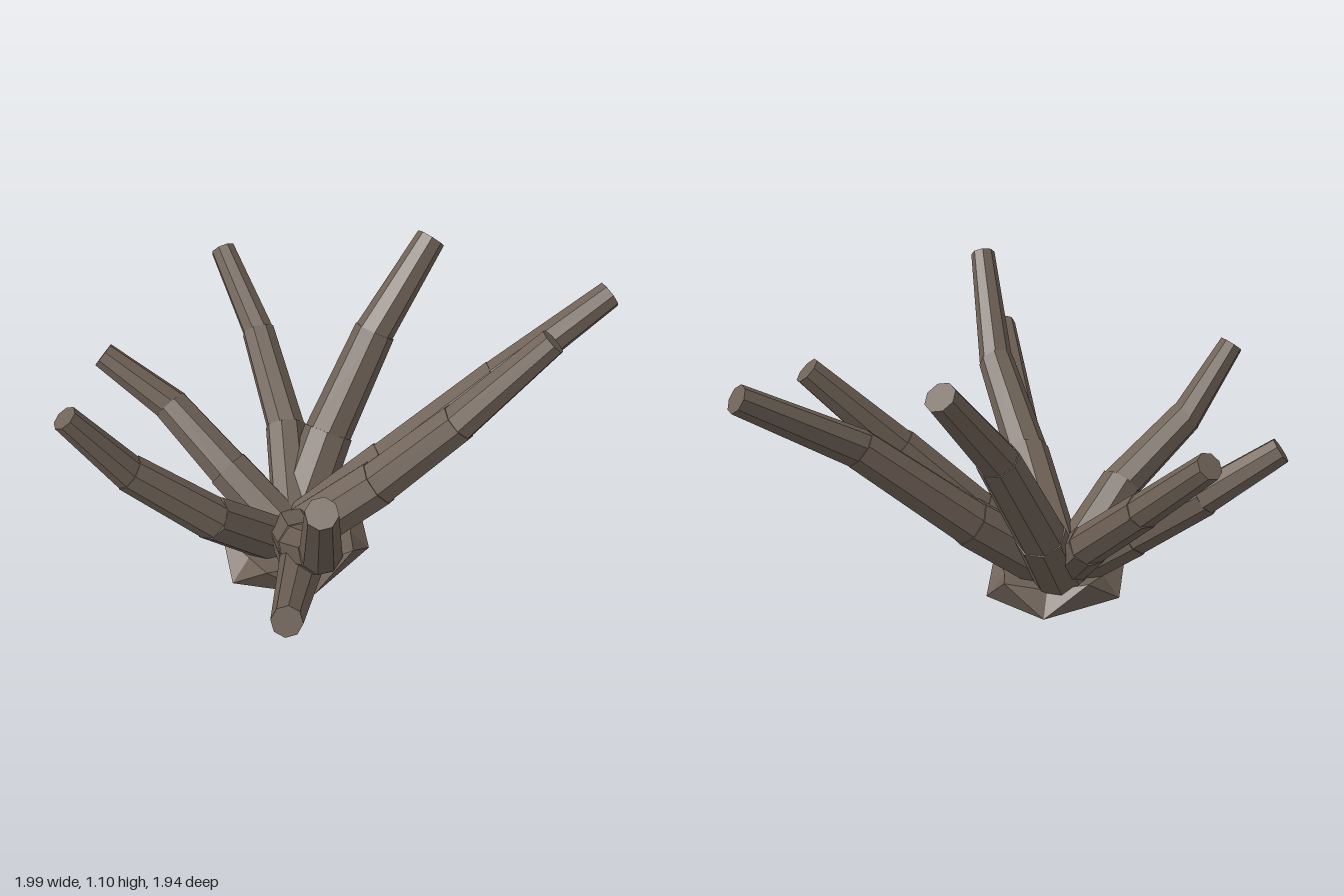
import * as THREE from 'three';

const bark = new THREE.MeshStandardMaterial({ color: 0x6f6257, flatShading: true });
bark.name = 'bark';

// Faceted stump: pentagon foot, five raised rim points with dips between, sunken middle
function makeStump() {
  const cx = -0.157, cz = -0.03, rx = 0.297, rz = 0.25;
  const ring = (y, turn, scale) => Array.from({ length: 5 }, (_, i) => {
    const a = turn + (i * Math.PI * 2) / 5;
    return [cx + rx * scale * Math.cos(a), y, cz + rz * scale * Math.sin(a)];
  });
  const low = ring(0, Math.PI / 5, 1);
  const dip = ring(0.085, Math.PI / 5, 0.74);
  const high = ring(0.12, 0, 1);
  const middle = [cx, 0.06, cz], floor = [cx, 0, cz];
  const points = [];
  for (let i = 0; i < 5; i++) {
    const j = (i + 1) % 5;
    points.push(high[i], middle, dip[i], dip[i], middle, high[j]);
    points.push(high[i], dip[i], low[i], dip[i], high[j], low[i]);
    points.push(low[i], high[j], low[j]);
    points.push(floor, low[i], low[j]);
  }
  const geometry = new THREE.BufferGeometry();
  geometry.setAttribute('position', new THREE.Float32BufferAttribute(points.flat(), 3));
  geometry.computeVertexNormals();
  const mesh = new THREE.Mesh(geometry, bark);
  mesh.name = 'stump';
  return mesh;
}

// One tapered eight-sided length of wood between two points
function makeSegment(from, to, r0, r1) {
  const dir = to.clone().sub(from);
  const geometry = new THREE.CylinderGeometry(r1, r0, dir.length(), 8);
  const mesh = new THREE.Mesh(geometry, bark);
  mesh.position.copy(from).addScaledVector(dir, 0.5);
  mesh.quaternion.setFromUnitVectors(new THREE.Vector3(0, 1, 0), dir.normalize());
  mesh.name = 'branchSegment';
  return mesh;
}

// Bent branch: each segment ends a little thicker than the next one starts
function makeBranch(name, rBase, rTip, path) {
  const group = new THREE.Group();
  group.name = name;
  const pts = path.map((p) => new THREE.Vector3(...p));
  const last = pts.length - 1;
  const run = [0];
  for (let i = 1; i <= last; i++) run.push(run[i - 1] + pts[i].distanceTo(pts[i - 1]));
  const radius = (i) => rBase + (rTip - rBase) * (run[i] / run[last]) ** 1.3;
  for (let i = 0; i < last; i++) {
    const start = pts[i].clone();
    if (i > 0) start.addScaledVector(pts[i + 1].clone().sub(pts[i]).normalize(), -0.02);
    const flare = i + 1 < last ? 1.05 : 1;
    group.add(makeSegment(start, pts[i + 1], radius(i), radius(i + 1) * flare));
  }
  return group;
}

export function createModel() {
  const model = new THREE.Group();
  model.name = 'bareBranches';
  model.add(makeStump());

  // name, base radius, tip radius, path from the stump outwards
  const branches = [
    ['backBranch', 0.083, 0.049, [[-0.13, 0.1, -0.08], [0.03, 0.34, -0.35], [0.125, 0.59, -0.66], [0.155, 0.83, -0.94]]],
    ['backRightBranch', 0.093, 0.051, [[-0.18, 0.1, -0.08], [-0.265, 0.28, -0.32], [-0.35, 0.475, -0.575], [-0.51, 0.66, -0.78]]],
    ['rightBranch', 0.092, 0.048, [[-0.22, 0.08, -0.04], [-0.52, 0.335, -0.05], [-0.77, 0.58, -0.17], [-0.955, 0.85, -0.24]]],
    ['leftBranch', 0.1, 0.057, [[-0.08, 0.09, -0.12], [0.12, 0.36, -0.19], [0.36, 0.72, -0.21], [0.645, 1.02, -0.23]]],
    ['frontLeftLongBranch', 0.1, 0.053, [[-0.12, 0.1, -0.04], [0.19, 0.35, 0.095], [0.55, 0.69, 0.285], [0.97, 0.95, 0.405]]],
    ['frontLeftShortBranch', 0.1, 0.053, [[-0.14, 0.1, -0.02], [0.09, 0.34, 0.16], [0.31, 0.62, 0.34], [0.585, 0.94, 0.505]]],
    ['frontRightLowBranch', 0.095, 0.049, [[-0.18, 0.11, -0.01], [-0.4, 0.35, 0.35], [-0.875, 0.73, 0.92]]],
    ['frontRightHighBranch', 0.098, 0.05, [[-0.17, 0.11, -0.02], [-0.4, 0.4, 0.35], [-0.57, 0.68, 0.68], [-0.745, 1.07, 0.92]]],
  ];
  for (const branch of branches) model.add(makeBranch(...branch));
  return model;
}
